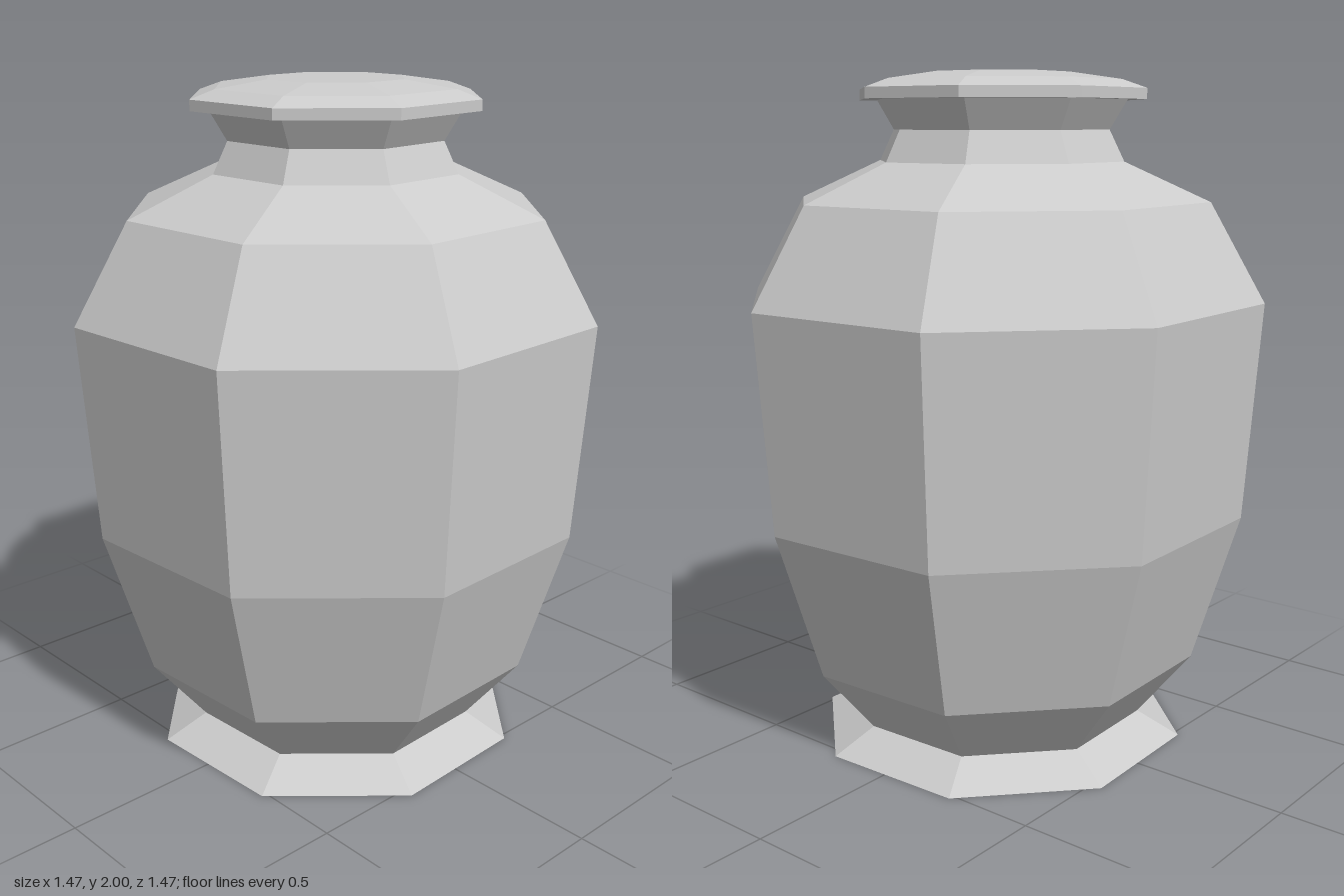
import * as THREE from 'three';

const SIDES = 8;
const TWIST = THREE.MathUtils.degToRad(24.9); // turns the corners off the axes

const material = new THREE.MeshStandardMaterial({ color: 0xcccccc, flatShading: true });

// Faceted ring part turned from [radius, height] pairs, listed bottom to top
function turned(name, profile) {
  const points = profile.map(([r, y]) => new THREE.Vector2(r, y));
  const mesh = new THREE.Mesh(new THREE.LatheGeometry(points, SIDES, TWIST, Math.PI * 2), material);
  mesh.name = name;
  return mesh;
}

export function createModel() {
  const urn = new THREE.Group();
  urn.name = 'urn';

  // Flared foot with a shallow recess underneath
  urn.add(turned('foot', [
    [0, 0.05], [0.377, 0.05], [0.47, 0], [0.57, 0], [0.442, 0.067],
  ]));

  // Belly and shoulder
  urn.add(turned('body', [
    [0.442, 0.067], [0.602, 0.262], [0.738, 0.71], [0.783, 1.35], [0.621, 1.635], [0.37, 1.747],
  ]));

  // Waisted neck
  urn.add(turned('neck', [
    [0.37, 1.747], [0.326, 1.837], [0.377, 1.922],
  ]));

  // Lid with a thin upright rim and a low stepped top
  urn.add(turned('lid', [
    [0.377, 1.922], [0.432, 1.922], [0.432, 1.953], [0.36, 1.978], [0.207, 2], [0, 2],
  ]));

  return urn;
}
